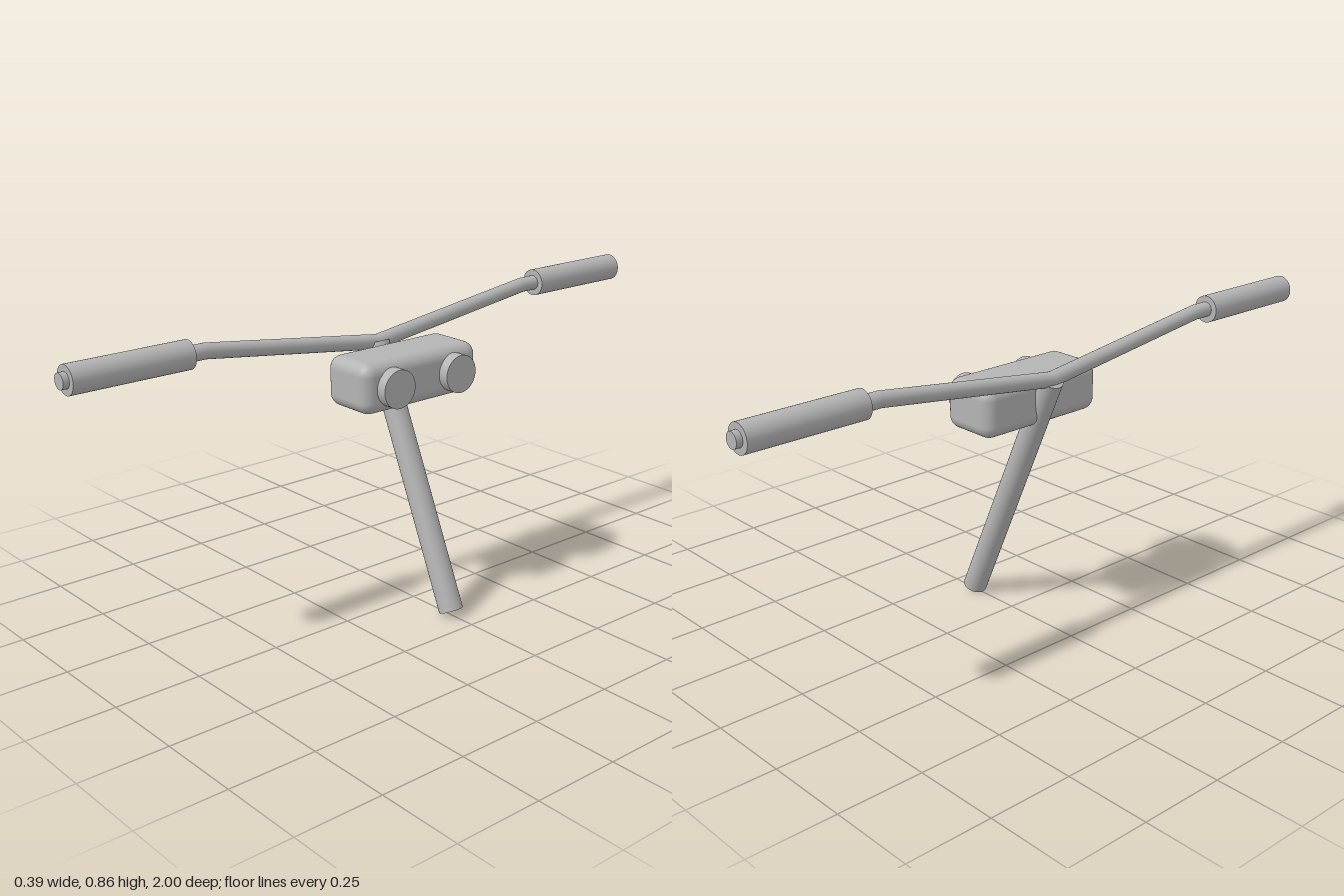
import * as THREE from 'three';
import { RoundedBoxGeometry } from 'three/addons/geometries/RoundedBoxGeometry.js';

const grey = new THREE.MeshStandardMaterial({ color: 0xb4b4b4 });
grey.name = 'grey';

const BAR_X = -0.158, BAR_Y = 0.823, BAR_DROP = 0.078, BEND_Z = 0.58;

export function createModel() {
  const model = new THREE.Group();

  function add(name, geometry, x = 0, y = 0, z = 0) {
    const mesh = new THREE.Mesh(geometry, grey);
    mesh.name = name;
    mesh.position.set(x, y, z);
    model.add(mesh);
    return mesh;
  }

  // Slanted steering stem
  const foot = new THREE.Vector3(0.164, 0.0145, 0);
  const head = new THREE.Vector3(-0.157, 0.743, 0);
  const axis = head.clone().sub(foot);
  const middle = foot.clone().add(head).multiplyScalar(0.5);
  const stem = add('stem', new THREE.CylinderGeometry(0.035, 0.035, axis.length(), 48), middle.x, middle.y);
  stem.quaternion.setFromUnitVectors(new THREE.Vector3(0, 1, 0), axis.normalize());

  // Handlebar: a straight tube whose rings are moved to the bends, dipping at the centre
  const bar = new THREE.CylinderGeometry(0.022, 0.022, 2, 32, 4).rotateX(Math.PI / 2);
  const pos = bar.attributes.position;
  for (let i = 0; i < pos.count; i++) {
    let z = pos.getZ(i);
    if (Math.abs(Math.abs(z) - 0.5) < 0.01) z = Math.sign(z) * BEND_Z;
    const dip = Math.max(0, 1 - Math.abs(z) / BEND_Z) * BAR_DROP;
    pos.setZ(i, z);
    pos.setY(i, pos.getY(i) - dip);
  }
  // The rings at the bends are kept smooth
  bar.computeVertexNormals();
  add('handlebar', bar, BAR_X, BAR_Y);

  // Headlight housing
  add('lampHousing', new RoundedBoxGeometry(0.177, 0.145, 0.415, 6, 0.036), -0.045, 0.678);

  // Mirrored grips and lamps
  for (const [side, s] of [['front', 1], ['back', -1]]) {
    add(side + 'Grip', new THREE.CylinderGeometry(0.04, 0.04, 0.352, 40).rotateX(Math.PI / 2),
      BAR_X, BAR_Y, s * 0.807);
    add(side + 'Lamp', new THREE.CylinderGeometry(0.055, 0.055, 0.05, 40).rotateZ(Math.PI / 2),
      0.05, 0.678, s * 0.113);
  }

  return model;
}
